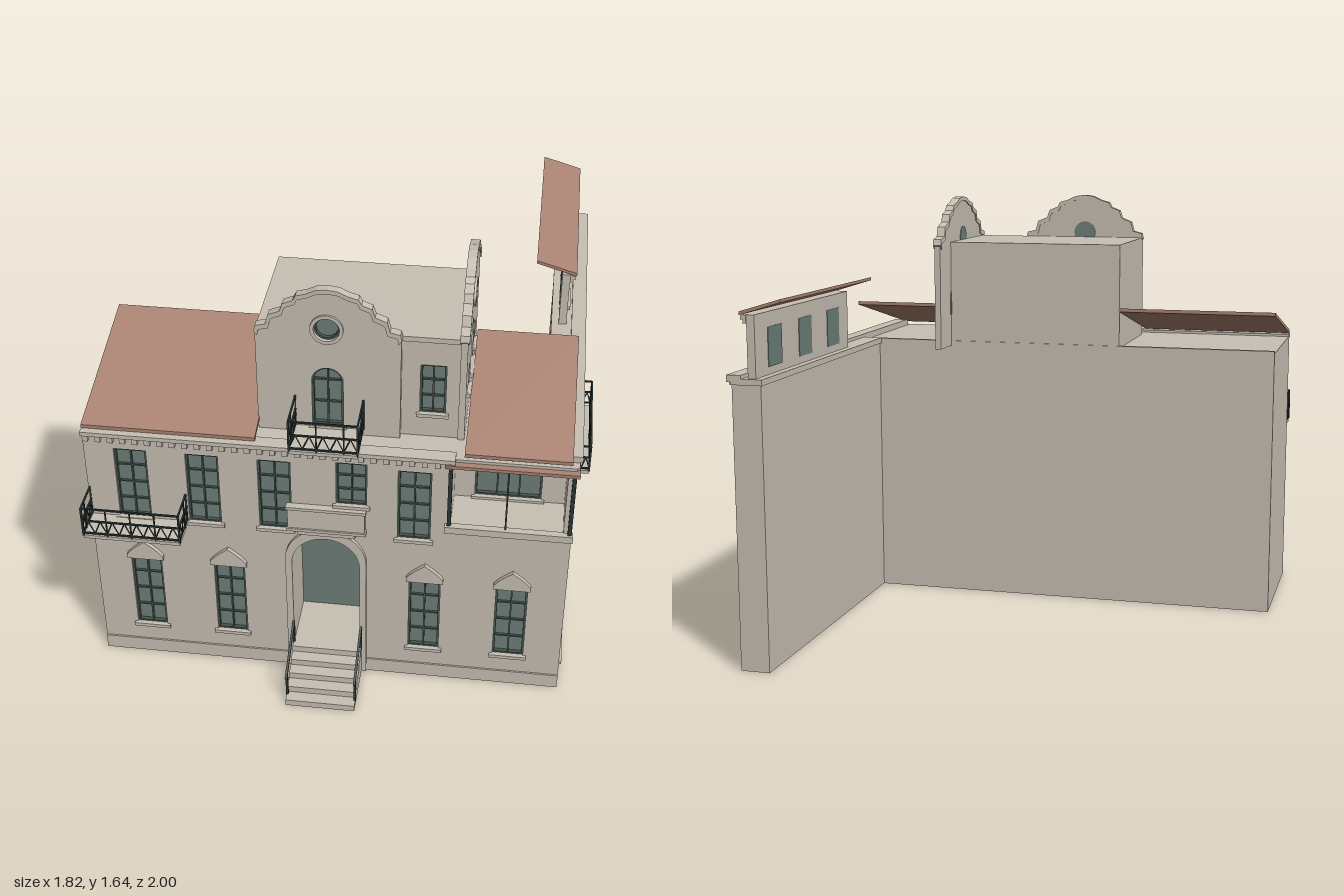
import * as THREE from 'three';

const mat = (name, color) => Object.assign(new THREE.MeshStandardMaterial({ color }), { name });
const stone = mat('stucco', 0xc8c0b4);
const tile = mat('roofTile', 0xac8473);
const glass = mat('glass', 0x6e7f79);
const frame = mat('windowFrame', 0x465550);
const iron = mat('iron', 0x2a3734);
const T = 0.03; // wall thickness

function add(parent, name, geo, m = stone) {
  const mesh = new THREE.Mesh(geo, m);
  mesh.name = name;
  parent.add(mesh);
  return mesh;
}
// box given by its limits
function box(parent, name, x0, x1, y0, y1, z0, z1, m = stone) {
  const mesh = add(parent, name, new THREE.BoxGeometry(x1 - x0, y1 - y0, z1 - z0), m);
  mesh.position.set((x0 + x1) / 2, (y0 + y1) / 2, (z0 + z1) / 2);
}
// straight square bar between two points
function bar(parent, name, a, b, t = 0.007, m = iron) {
  const p = new THREE.Vector3(...a), d = new THREE.Vector3(...b).sub(p);
  const mesh = add(parent, name, new THREE.BoxGeometry(t, t, d.length()), m);
  mesh.position.copy(p).addScaledVector(d, 0.5);
  mesh.quaternion.setFromUnitVectors(new THREE.Vector3(0, 0, 1), d.normalize());
}
const polygon = pts => new THREE.Shape(pts.map(p => new THREE.Vector2(...p)));
function plate(parent, name, shape, z0, z1, m = stone) {
  const geo = new THREE.ExtrudeGeometry(shape, { depth: z1 - z0, bevelEnabled: false, curveSegments: 14 });
  geo.translate(0, 0, z0);
  return add(parent, name, geo, m);
}
// profile in (z, y), extruded along x
function prism(parent, name, pts, x0, x1, m = stone) {
  const mesh = plate(parent, name, polygon(pts.map(([z, y]) => [-z, y])), x0, x1, m);
  mesh.geometry.rotateY(Math.PI / 2);
}
// outline of a rectangular, arched or round opening, shrunk by i
function outline({ u0, u1, v0, v1, kind }, i = 0) {
  const s = new THREE.Shape(), r = (u1 - u0) / 2 - i, c = (u0 + u1) / 2;
  if (kind === 'round') {
    s.absarc(c, (v0 + v1) / 2, r, 0, Math.PI * 2);
  } else if (kind === 'arch') {
    s.moveTo(u0 + i, v0 + i);
    s.lineTo(u1 - i, v0 + i);
    s.absarc(c, v1 - i - r, r, 0, Math.PI);
    s.closePath();
  } else return polygon([[u0 + i, v0 + i], [u1 - i, v0 + i], [u1 - i, v1 - i], [u0 + i, v1 - i]]);
  return s;
}
const win = (c, w, v0, v1, cols, rows, opts = {}) => ({ u0: c - w / 2, u1: c + w / 2, v0, v1, cols, rows, ...opts });

// glazing with frame, bars, sill and optional hood
function fillWindow(parent, o, t) {
  const g = new THREE.Group();
  g.name = 'window';
  parent.add(g);
  const { u0, u1, v0, v1, cols, rows, kind } = o, c = (u0 + u1) / 2;
  plate(g, 'windowGlass', outline(o, -0.001), -t - 0.002, -0.02, glass);
  const ring = outline(o);
  ring.holes.push(outline(o, 0.007));
  plate(g, 'windowFrame', ring, -0.02, -0.006, frame);
  const top = kind === 'arch' ? v1 - (u1 - u0) / 2 : v1;
  for (let i = 1; i < cols; i++) {
    const u = u0 + (u1 - u0) * i / cols, r = (u1 - u0) / 2;
    const cut = kind === 'round' ? r - Math.sqrt(r * r - (u - c) ** 2) : 0;
    box(g, 'mullion', u - 0.003, u + 0.003, v0 + cut, (o.fan ? top : v1) - cut, -0.021, -0.011, frame);
  }
  for (let i = 1; i < rows + (kind === 'arch' ? 1 : 0); i++) {
    const v = v0 + (top - v0) * i / rows;
    box(g, 'transom', u0, u1, v - 0.003, v + 0.003, -0.021, -0.012, frame);
  }
  if (o.fan) for (const a of [0.25, 0.5, 0.75]) {
    const r = (u1 - u0) / 2;
    bar(g, 'fanBar', [c, top, -0.015], [c + r * Math.cos(a * Math.PI), top + r * Math.sin(a * Math.PI), -0.015], 0.007, frame);
  }
  if (kind === 'round') {
    const rim = outline(o, -0.013);
    rim.holes.push(outline(o));
    plate(g, 'roundSurround', rim, 0, 0.008);
  } else box(g, 'sill', u0 - 0.012, u1 + 0.012, v0 - 0.014, v0, -0.018, 0.012);
  if (o.hood) {
    const half = [[0.068, 0], [0.068, 0.018], [0.05, 0.04], [0.028, 0.06], [0, 0.082]];
    const pts = [...half, ...half.slice(0, -1).reverse().map(([x, y]) => [-x, y])];
    plate(g, 'windowHood', polygon(pts.map(([x, y]) => [c + x, v1 + y])), 0, 0.016);
  }
}
// wall with openings; its outer face lies on local z = 0
function wall(parent, name, pts, openings, t = T) {
  const g = new THREE.Group();
  g.name = name;
  parent.add(g);
  const s = polygon(pts);
  for (const o of openings) s.holes.push(outline(o));
  plate(g, name + 'Panel', s, -t, 0);
  for (const o of openings) if (!o.open) fillWindow(g, o, t);
  return g;
}
const rect = (u0, u1, v0, v1) => [[u0, v0], [u1, v0], [u1, v1], [u0, v1]];

// stepped and curved gable with a slim raised coping
const gableSteps = [[1, 1.46], [0.98, 1.483], [0.84, 1.492], [0.8, 1.53], [0.64, 1.547], [0.6, 1.578],
  [0.46, 1.592], [0.42, 1.612], [0.28, 1.622], [0.15, 1.638], [0, 1.643]];
function gable(parent, name, c, half, openings) {
  const at = (k, dy) => [...gableSteps.map(([t, y]) => [c + t * half * k, y + dy]),
    ...gableSteps.slice(0, -1).reverse().map(([t, y]) => [c - t * half * k, y + dy])];
  const g = wall(parent, name, [[c - half, 1.04], [c + half, 1.04], ...at(1, -0.003)], openings, 0.024);
  plate(g, 'gableCoping', polygon([...at(1.01, 0), ...at(0.965, -0.016).reverse()]), -0.028, 0.005);
}
// iron balcony projecting from local z = 0
function balcony(parent, name, u0, u1, v0, v1, d, brackets = true) {
  const g = new THREE.Group();
  g.name = name;
  parent.add(g);
  box(g, 'balconyFloor', u0, u1, v0 - 0.014, v0, -0.01, d);
  const mid = v0 + (v1 - v0) * 0.55, low = v0 + 0.012;
  const runs = [[[u0, 0], [u0, d]], [[u0, d], [u1, d]], [[u1, d], [u1, 0]]];
  for (const [[ax, az], [bx, bz]] of runs) {
    for (const v of [low, mid, v1]) bar(g, 'rail', [ax, v, az], [bx, v, bz], 0.006);
    const n = Math.max(2, Math.round(Math.hypot(bx - ax, bz - az) / 0.045));
    const p = (i, y) => [ax + (bx - ax) * i / n, y, az + (bz - az) * i / n];
    for (let i = 0; i < n; i++) {
      bar(g, 'scrollBar', p(i, low), p(i + 0.5, mid), 0.004);
      bar(g, 'scrollBar', p(i + 0.5, mid), p(i + 1, low), 0.004);
      if (i % 2 === 0) bar(g, 'baluster', p(i, v0), p(i, v1), 0.005);
    }
    bar(g, 'cornerPost', [bx, v0, bz], [bx, v1, bz], 0.007);
  }
  if (brackets) for (const t of [0.17, 0.84]) {
    const u = u0 + (u1 - u0) * t;
    bar(g, 'bracket', [u, v0 - 0.06, 0], [u, v0 - 0.016, d * 0.85], 0.008);
    bar(g, 'bracket', [u, v0 - 0.06, 0.004], [u, v0 - 0.012, 0.004], 0.008);
  }
}

export function createModel() {
  const model = new THREE.Group();
  const facade = (name, z) => { const g = new THREE.Group(); g.name = name; g.position.z = z; model.add(g); return g; };
  // faces +x, with local u running along -z
  const side = (name, x) => { const g = facade(name, 0); g.position.x = x; g.rotation.y = Math.PI / 2; return g; };

  // front wall
  const front = facade('frontFacade', 0.775);
  const door = { u0: -0.165, u1: 0.085, v0: 0.13, v1: 0.65, kind: 'arch', open: true };
  const loggia = { u0: 0.41, u1: 0.81, v0: 0.755, v1: 1.025, open: true };
  wall(front, 'frontWall', rect(-0.91, 0.84, 0, 1.05), [door, loggia,
    ...[-0.72, -0.405, 0.325, 0.645].map(c => win(c, 0.115, 0.145, 0.48, 2, 4, { hood: true })),
    ...[-0.742, -0.482, -0.222, 0.28].map(c => win(c, 0.118, 0.675, 0.98, 2, 4)),
    win(0.055, 0.11, 0.81, 0.995, 2, 3)]);
  box(front, 'plinth', -0.91, -0.19, 0, 0.06, 0, 0.006);
  box(front, 'plinth', 0.11, 0.84, 0, 0.06, 0, 0.006);
  balcony(front, 'frontBalcony', -0.905, -0.55, 0.672, 0.795, 0.125);

  // cornice with dentils
  box(front, 'cornice', -0.91, 0.42, 1.043, 1.06, -0.03, 0.024);
  for (let i = 0; i < 30; i++) box(front, 'dentil', -0.905 + i * 0.0448, -0.885 + i * 0.0448, 1.016, 1.043, 0, 0.017);

  // entrance: arched passage, door, surround and steps
  const tunnel = outline(door, -0.015);
  tunnel.holes.push(outline(door));
  plate(front, 'entrancePassage', tunnel, -0.205, -0.01);
  plate(front, 'entranceDoor', outline(door, -0.005), -0.213, -0.205, glass);
  const surround = outline({ ...door, u0: -0.19, u1: 0.11, v0: 0, v1: 0.69 });
  surround.holes.push(outline({ ...door, v0: 0.001 }));
  plate(front, 'entranceSurround', surround, 0, 0.014);
  const steps = [[0.775, 0]];
  for (let i = 0; i < 5; i++) steps.push([1 - i * 0.045, i * 0.026], [1 - i * 0.045, (i + 1) * 0.026]);
  prism(model, 'steps', [...steps, [0.775, 0.13]], -0.168, 0.092);
  for (const x of [-0.166, 0.09]) {
    bar(model, 'stairRail', [x, 0.12, 0.985], [x, 0.23, 0.785], 0.009);
    bar(model, 'stairPost', [x, 0.02, 0.965], [x, 0.13, 0.965], 0.009);
    bar(model, 'stairPost', [x, 0.12, 0.79], [x, 0.228, 0.79], 0.009);
  }

  // stone balcony over the entrance
  box(front, 'stoneBalcony', -0.175, 0.105, 0.7, 0.785, 0, 0.022);
  box(front, 'stoneBalconyCap', -0.18, 0.11, 0.785, 0.797, 0, 0.028);
  box(front, 'stoneBalconyBase', -0.18, 0.11, 0.688, 0.7, 0, 0.028);
  box(front, 'stoneBalconyCorbel', -0.14, 0.07, 0.668, 0.688, 0, 0.02);

  // corner loggia
  const back = facade('loggiaBack', 0.605);
  wall(back, 'loggiaBackWall', rect(0.4, 0.82, 0.74, 1.03), [win(0.605, 0.24, 0.765, 0.975, 3, 2)]);
  box(model, 'loggiaFloor', 0.4, 0.82, 0.735, 0.755, 0.6, 0.75);
  box(model, 'loggiaSideWall', 0.39, 0.41, 0.74, 1.03, 0.6, 0.75);
  box(model, 'loggiaSill', 0.39, 0.845, 0.732, 0.76, 0.77, 0.797);
  for (const x of [0.405, 0.606, 0.832]) bar(front, 'loggiaPost', [x, 0.76, 0.006], [x, 1.025, 0.006], x === 0.606 ? 0.006 : 0.014);
  box(model, 'loggiaEave', 0.385, 0.85, 1.026, 1.039, 0.58, 0.8, tile);

  // right wall, shared by main block and wing
  const right = side('rightFacade', 0.84);
  wall(right, 'rightWall', rect(-0.775, 0.99, 0, 1.05), [
    win(-0.547, 0.285, 0.06, 0.605, 2, 2, { kind: 'arch', fan: true }),
    ...[-0.187, -0.008].map(c => win(c, 0.133, 0.68, 0.975, 2, 2, { kind: 'arch' })),
    ...[0.293, 0.587, 0.868].map(c => win(c, 0.155, 0.67, 0.97, 2, 3))]);
  balcony(right, 'sideBalcony', -0.31, 0.12, 0.685, 0.8, 0.062);
  box(right, 'sideCornice', -0.74, 1, 1.05, 1.075, -0.04, 0.016);
  box(right, 'sideMoulding', -0.77, 0.995, 1.04, 1.05, 0, 0.008);

  // remaining shell, open underneath
  box(model, 'backWall', -0.91, 0.745, 0, 1.05, 0.19, 0.205);
  box(model, 'leftWall', -0.91, -0.895, 0, 1.05, 0.19, 0.76);
  box(model, 'flatRoof', -0.91, 0.84, 1.03, 1.05, 0.19, 0.77);
  box(model, 'backCoping', -0.91, 0.73, 1.045, 1.06, 0.185, 0.205);
  box(model, 'wingInnerWall', 0.73, 0.745, 0, 1.05, -0.99, 0.19);
  box(model, 'wingEndWall', 0.73, 0.84, 0, 1.05, -0.99, -0.975);
  box(model, 'wingRoof', 0.722, 0.84, 1.04, 1.062, -1, 0.19);

  // sloping roofs of the main block
  for (const [x0, x1] of [[-0.91, -0.285], [0.45, 0.822]])
    prism(model, 'slopingRoof', [[0.775, 1.062], [0.775, 1.076], [0.188, 1.212], [0.188, 1.198]], x0, x1, tile);

  // tower
  const towerFront = facade('towerFront', 0.676);
  gable(towerFront, 'frontGable', -0.037, 0.252, [win(-0.04, 0.11, 1.085, 1.325, 2, 2, { kind: 'arch' }),
    win(-0.04, 0.09, 1.44, 1.53, 1, 1, { kind: 'round' })]);
  balcony(towerFront, 'towerBalcony', -0.155, 0.085, 1.075, 1.2, 0.155, false);
  wall(facade('towerFrontSide', 0.65), 'towerFrontWall', rect(0.2, 0.43, 1.04, 1.46), [win(0.325, 0.09, 1.15, 1.35, 2, 3)]);
  const towerRight = side('towerRight', 0.44);
  gable(towerRight, 'sideGable', -0.355, 0.305, [win(-0.36, 0.105, 1.17, 1.365, 2, 2, { kind: 'arch' }),
    win(-0.36, 0.08, 1.44, 1.52, 4, 1, { kind: 'round' }),
    ...[-0.51, -0.21].map(c => win(c, 0.06, 1.17, 1.27, 2, 1, { kind: 'arch' }))]);
  box(model, 'towerLeftWall', -0.289, -0.265, 1.04, 1.46, 0.19, 0.66);
  box(model, 'towerBackWall', -0.289, 0.42, 1.04, 1.46, 0.19, 0.21);
  box(model, 'towerRoof', -0.289, 0.42, 1.445, 1.465, 0.185, 0.655);

  // upper storey of the wing
  const upper = side('wingUpperStorey', 0.78);
  wall(upper, 'wingUpperWall', rect(0.12, 0.985, 1.05, 1.285),
    [0.275, 0.547, 0.82].map(c => win(c, 0.116, 1.09, 1.23, 2, 2)));
  box(upper, 'wingUpperMoulding', 0.115, 0.988, 1.255, 1.268, 0, 0.012);
  box(upper, 'wingUpperMoulding', 0.113, 0.99, 1.268, 1.285, 0, 0.02);
  plate(model, 'wingUpperRoof', polygon([[0.65, 1.33], [0.805, 1.283], [0.805, 1.296], [0.65, 1.342]]), -0.99, -0.115, tile);
  return model;
}
